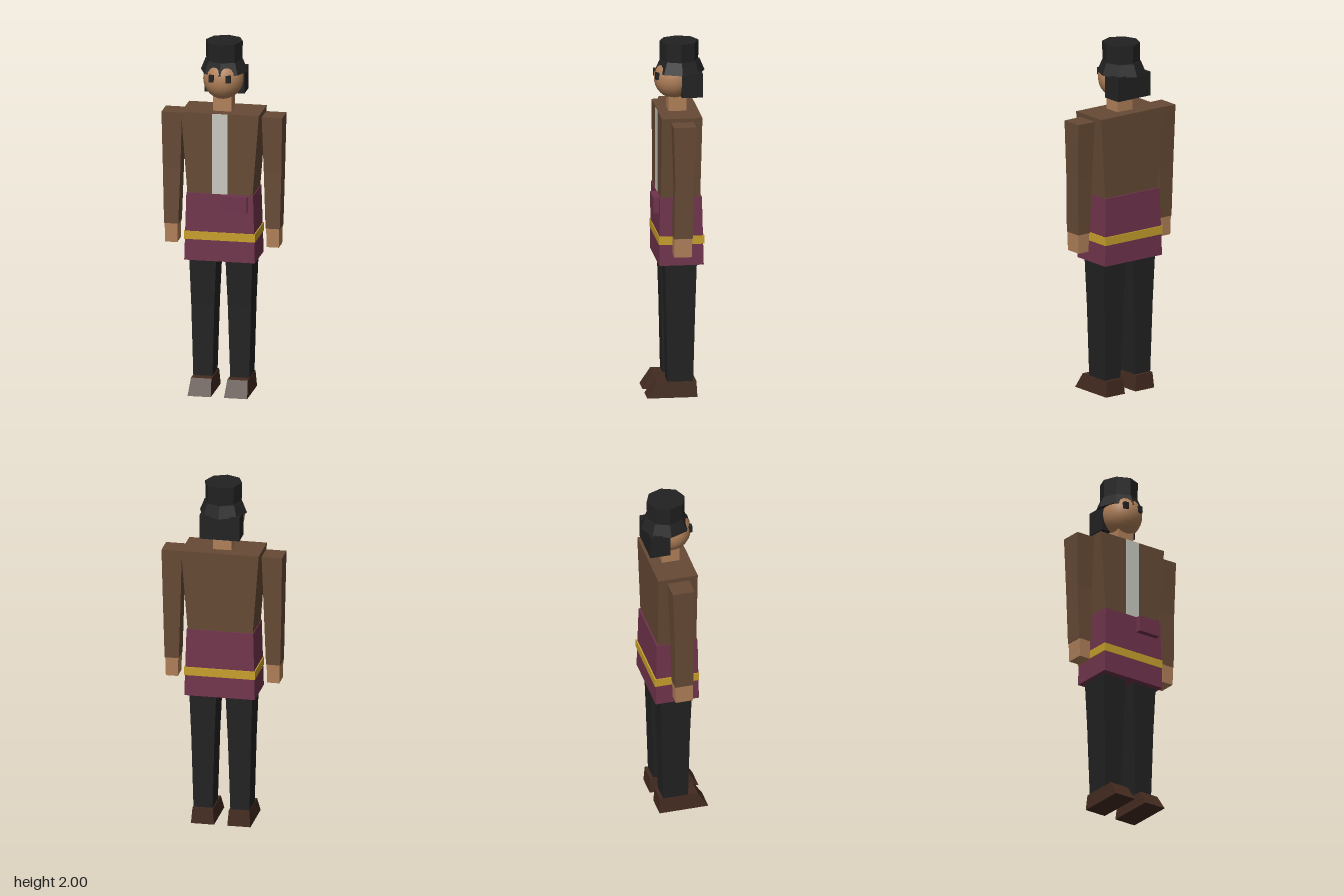
import * as THREE from 'three';

const mat = (name, color) => {
  const m = new THREE.MeshStandardMaterial({ color });
  m.name = name;
  return m;
};

// Four-sided loft through horizontal rectangles [y, x0, x1, z0, z1], listed bottom to top.
function loft(sections, mirror = 1) {
  const pos = [];
  const rings = sections.map(([y, a, b, z0, z1]) => {
    const x0 = mirror > 0 ? a : -b, x1 = mirror > 0 ? b : -a;
    return [[x0, y, z1], [x1, y, z1], [x1, y, z0], [x0, y, z0]];
  });
  const quad = (a, b, c, d) => pos.push(...a, ...b, ...c, ...a, ...c, ...d);
  for (let i = 0; i + 1 < rings.length; i++) {
    const lo = rings[i], hi = rings[i + 1];
    for (let k = 0; k < 4; k++) {
      const n = (k + 1) % 4;
      quad(lo[k], lo[n], hi[n], hi[k]);
    }
  }
  const top = rings[rings.length - 1], bot = rings[0];
  quad(top[0], top[1], top[2], top[3]);
  quad(bot[3], bot[2], bot[1], bot[0]);
  const g = new THREE.BufferGeometry();
  g.setAttribute('position', new THREE.Float32BufferAttribute(pos, 3));
  g.computeVertexNormals();
  return g;
}

// Faceted eight-sided drum, slightly deeper than wide.
function octagon(rTop, rBottom, y0, y1, z) {
  const g = new THREE.CylinderGeometry(rTop, rBottom, y1 - y0, 8).toNonIndexed();
  g.scale(1, 1, 1.05);
  g.translate(0, (y0 + y1) / 2, z);
  g.computeVertexNormals();
  return g;
}

export function createModel() {
  const jacket = mat('jacket brown', 0x664a35);
  const skin = mat('skin', 0xb08059);
  const tunic = mat('tunic plum', 0x70344c);
  const gold = mat('belt gold', 0xc8a02c);
  const black = mat('black cloth', 0x222222);
  const linen = mat('shirt linen', 0xc8c8c0);
  const leather = mat('shoe leather', 0x432b20);

  const model = new THREE.Group();
  model.name = 'figure';
  const add = (name, geometry, material, parent = model) => {
    const m = new THREE.Mesh(geometry, material);
    m.name = name;
    parent.add(m);
    return m;
  };

  // Torso and clothing
  add('jacketBody', loft([
    [1.14, -0.183, 0.183, -0.122, 0.097],
    [1.61, -0.219, 0.219, -0.13, 0.096]]), jacket);
  add('shirtFront', loft([
    [1.15, -0.043, 0.043, 0.093, 0.1],
    [1.609, -0.043, 0.043, 0.092, 0.099]]), linen);
  add('tunicSkirt', loft([
    [0.765, -0.199, 0.199, -0.14, 0.108],
    [1.15, -0.188, 0.188, -0.131, 0.103]]), tunic);
  add('belt', loft([
    [0.885, -0.2, 0.2, -0.144, 0.109],
    [0.932, -0.2, 0.2, -0.144, 0.109]]), gold);
  add('pouch', loft([
    [1.057, 0.022, 0.158, 0.09, 0.136],
    [1.148, 0.022, 0.158, 0.09, 0.136]]), tunic);

  // Head
  add('neck', loft([
    [1.6, -0.052, 0.052, -0.062, 0.037],
    [1.72, -0.052, 0.052, -0.062, 0.037]]), skin);
  const headGeo = new THREE.SphereGeometry(1, 24, 16);
  headGeo.scale(0.112, 0.118, 0.112);
  add('head', headGeo, skin).position.set(0, 1.792, 0);
  add('hair', loft([
    [1.698, -0.113, 0.113, -0.146, -0.03],
    [1.835, -0.113, 0.113, -0.146, -0.03]]), black);

  // Hat
  add('hatBrim', octagon(0.106, 0.133, 1.828, 1.895, -0.031), black);
  add('hatCrown', octagon(0.104, 0.102, 1.89, 2, -0.028), black);

  // Paired parts: +1 is the model's left
  for (const s of [1, -1]) {
    const side = s > 0 ? 'left' : 'right';
    add(side + 'Eye', loft([
      [1.792, 0.033, 0.061, 0.088, 0.109],
      [1.832, 0.033, 0.061, 0.088, 0.109]], s), black);

    const arm = new THREE.Group();
    arm.name = side + 'Arm';
    add(side + 'Sleeve', loft([
      [0.95, 0.246, 0.326, -0.062, 0.042],
      [1.27, 0.235, 0.334, -0.068, 0.036],
      [1.59, 0.225, 0.34, -0.08, 0.045]], s), jacket, arm);
    add(side + 'Hand', loft([
      [0.843, 0.252, 0.32, -0.058, 0.04],
      [0.952, 0.249, 0.323, -0.06, 0.041]], s), skin, arm);
    model.add(arm);

    const leg = new THREE.Group();
    leg.name = side + 'Leg';
    add(side + 'Trouser', loft([
      [0.085, 0.05, 0.158, -0.086, 0.057],
      [0.5, 0.038, 0.168, -0.096, 0.065],
      [0.8, 0.025, 0.179, -0.105, 0.074]], s), black, leg);
    add(side + 'Shoe', loft([
      [0, 0.037, 0.168, -0.109, 0.17],
      [0.09, 0.045, 0.16, -0.104, 0.112]], s), leather, leg);
    model.add(leg);
  }
  return model;
}
